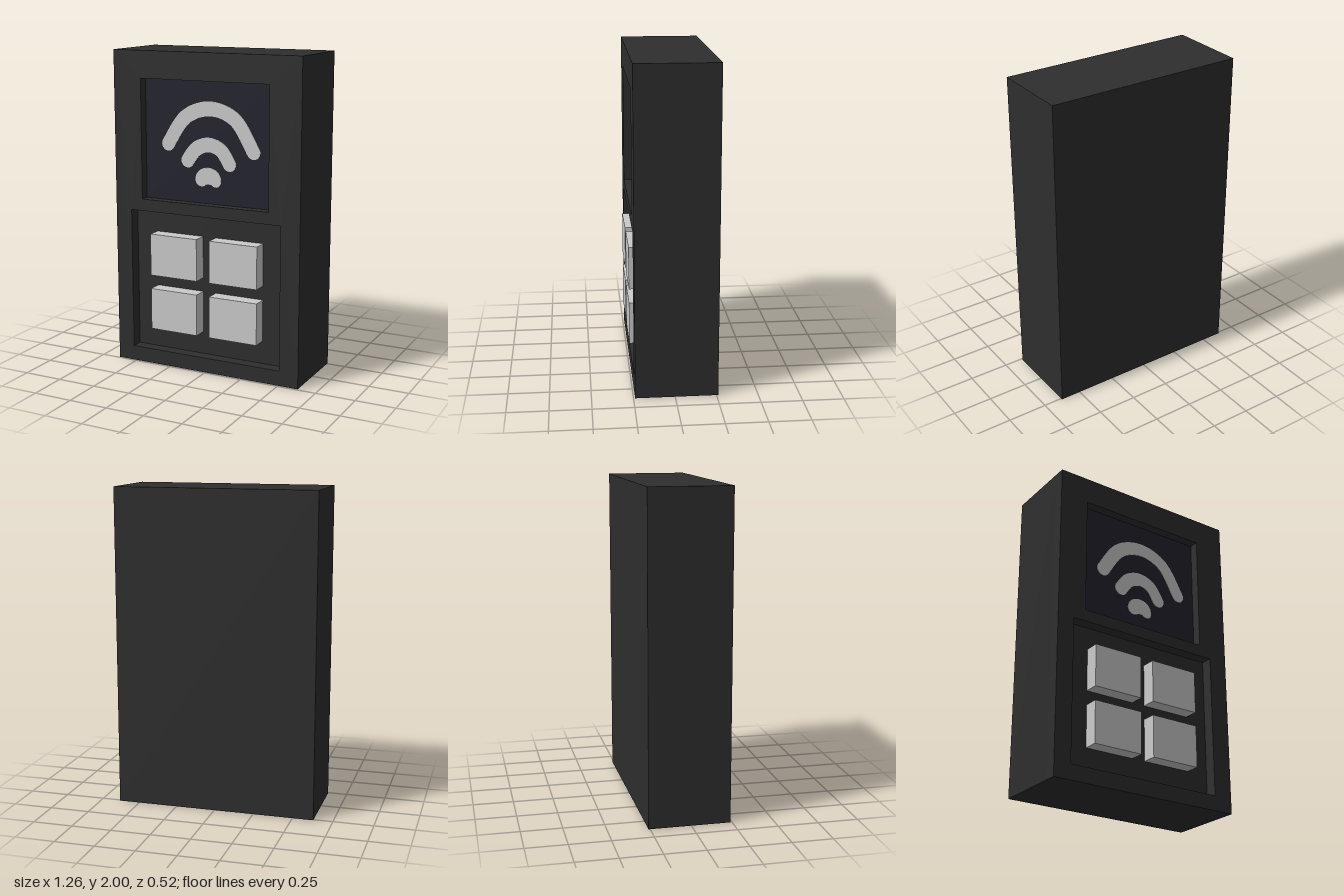
import * as THREE from 'three';

const FLOOR = 0.165, FRONT = 0.24, BACK = -0.26, SCREEN = 0.18;

function rectPoints(x0, x1, y0, y1) {
  return [[x0, y0], [x1, y0], [x1, y1], [x0, y1]].map(p => new THREE.Vector2(...p));
}

// Outline of a curved stroke with round ends
function strokeShape(points, radius) {
  const curve = new THREE.SplineCurve(points.map(p => new THREE.Vector2(...p)));
  const outer = [], inner = [], n = 32;
  const polar = (c, a) => new THREE.Vector2(c.x + radius * Math.cos(a), c.y + radius * Math.sin(a));
  const angle = t => { const d = curve.getTangent(t); return Math.atan2(d.y, d.x); };
  for (let i = 0; i <= n; i++) {
    const c = curve.getPoint(i / n), a = angle(i / n);
    outer.push(polar(c, a + Math.PI / 2));
    inner.unshift(polar(c, a - Math.PI / 2));
  }
  const cap = (t, start) => Array.from({ length: 9 }, (_, i) =>
    polar(curve.getPoint(t), angle(t) + start - Math.PI * (i + 1) / 10));
  return new THREE.Shape([...outer, ...cap(1, Math.PI / 2), ...inner, ...cap(0, -Math.PI / 2)]);
}

export function createModel() {
  const group = new THREE.Group();
  const material = (name, color) => new THREE.MeshStandardMaterial({ name, color });
  const charcoal = material('charcoal', 0x2e2e2e);
  const navy = material('dark navy', 0x22222e);
  const lightGrey = material('light grey', 0xcbcbcb);

  function add(name, geometry, mat) {
    const mesh = new THREE.Mesh(geometry, mat);
    mesh.name = name;
    group.add(mesh);
    return mesh;
  }
  function box(name, x0, x1, y0, y1, z0, z1, mat) {
    add(name, new THREE.BoxGeometry(x1 - x0, y1 - y0, z1 - z0), mat)
      .position.set((x0 + x1) / 2, (y0 + y1) / 2, (z0 + z1) / 2);
  }

  // Casing: solid rear block and a front frame with two recesses
  box('casing', -0.63, 0.63, 0, 2, BACK, FLOOR, charcoal);
  const frame = new THREE.Shape(rectPoints(-0.63, 0.63, 0, 2));
  frame.holes.push(
    new THREE.Path(rectPoints(-0.44, 0.425, 1.075, 1.83)),
    new THREE.Path(rectPoints(-0.52, 0.505, 0.095, 1.0)));
  add('frontFrame', new THREE.ExtrudeGeometry(frame, { depth: FRONT - FLOOR, bevelEnabled: false }), charcoal)
    .position.z = FLOOR;

  // Screen at the bottom of the upper recess
  box('screen', -0.44, 0.425, 1.075, 1.83, FLOOR, SCREEN, navy);

  // Signal symbol: two round-ended arcs and a small arched dot
  const dot = new THREE.Shape();
  dot.moveTo(-0.015, 1.195);
  dot.lineTo(0.015, 1.195);
  dot.bezierCurveTo(0.04, 1.17, 0.085, 1.175, 0.085, 1.225);
  dot.bezierCurveTo(0.08, 1.325, -0.085, 1.325, -0.093, 1.225);
  dot.bezierCurveTo(-0.09, 1.175, -0.04, 1.17, -0.015, 1.195);
  const signals = [
    ['outerArc', strokeShape([[-0.28, 1.43], [-0.16, 1.6], [0.01, 1.66], [0.18, 1.6], [0.3, 1.415]], 0.045)],
    ['middleArc', strokeShape([[-0.145, 1.335], [-0.085, 1.41], [0, 1.44], [0.085, 1.41], [0.14, 1.33]], 0.045)],
    ['signalDot', dot],
  ];
  for (const [name, shape] of signals) {
    add(name, new THREE.ExtrudeGeometry(shape, { depth: 0.003, bevelEnabled: false }), lightGrey)
      .position.z = SCREEN;
  }

  // Four buttons in the lower recess
  for (const [side, x0, x1] of [['Right', -0.375, -0.05], ['Left', 0.037, 0.36]]) {
    for (const [row, y0, y1] of [['upper', 0.593, 0.86], ['lower', 0.24, 0.505]]) {
      box(`${row}${side}Button`, x0, x1, y0, y1, FLOOR, 0.257, lightGrey);
    }
  }
  return group;
}
